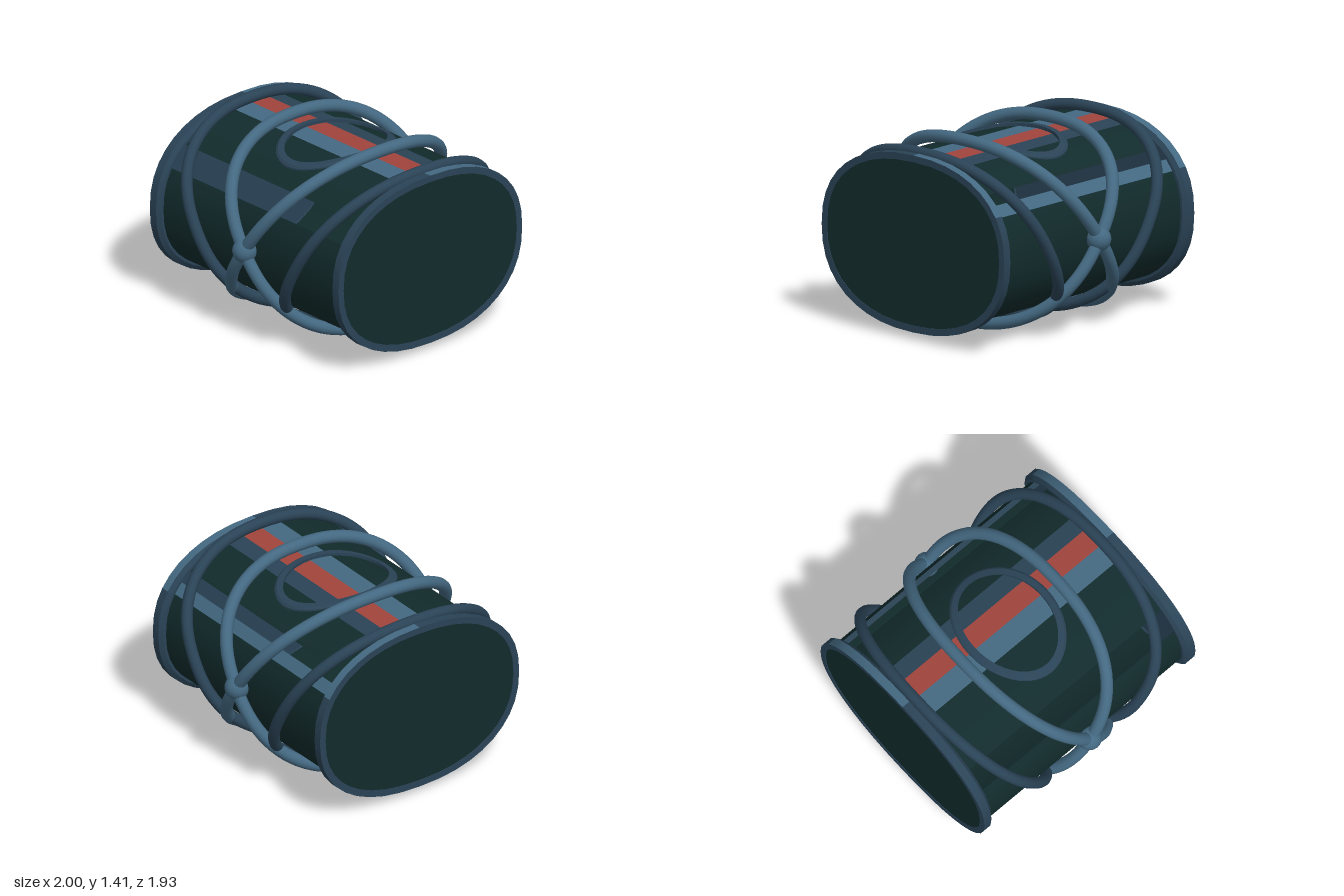
import * as THREE from 'three';
import { mergeGeometries } from 'three/addons/utils/BufferGeometryUtils.js';

const MID = 0.71, A = 0.83, B = 0.6, N = 40, POW = 2.3;

const mat = (name, color) => {
  const m = new THREE.MeshStandardMaterial({ color, side: THREE.DoubleSide });
  m.name = name;
  return m;
};

// Rounded oval in the y-z plane; step 0 is the top, positive steps run to the front
function oval(step, a, b) {
  const t = (step / N) * Math.PI * 2;
  const f = (v) => Math.sign(v) * Math.pow(Math.abs(v), 2 / POW);
  return { y: MID + b * f(Math.cos(t)), z: a * f(Math.sin(t)) };
}

// Height of the barrel's upper surface at a given z
const topAt = (z) => MID + B * Math.pow(1 - Math.pow(Math.abs(z) / A, POW), 1 / POW);

// Quad strip from a function at(row, column) returning [x, y, z]
function sheet(rows, cols, at) {
  const pos = [], idx = [];
  for (let r = 0; r <= rows; r++)
    for (let c = 0; c <= cols; c++) pos.push(...at(r, c));
  for (let r = 0; r < rows; r++)
    for (let c = 0; c < cols; c++) {
      const p = r * (cols + 1) + c, q = p + cols + 1;
      idx.push(p, p + 1, q, p + 1, q + 1, q);
    }
  const g = new THREE.BufferGeometry();
  g.setAttribute('position', new THREE.Float32BufferAttribute(pos, 3));
  g.setIndex(idx);
  g.computeVertexNormals();
  return g;
}

// Lengthwise band between two oval steps, following [x, outset] profile points with sharp corners
function band(from, to, profile) {
  const parts = [];
  for (let k = 0; k < profile.length - 1; k++)
    parts.push(sheet(to - from, 1, (r, c) => {
      const [x, out] = profile[k + c];
      const p = oval(from + r, A + out, B + out);
      return [x, p.y, p.z];
    }));
  return mergeGeometries(parts);
}

// Oval disc closing an end
function disc(x, side) {
  const s = new THREE.Shape();
  for (let i = 0; i <= N; i++) {
    const p = oval(i, A, B);
    if (i) s.lineTo(p.z, p.y); else s.moveTo(p.z, p.y);
  }
  return new THREE.ShapeGeometry(s).rotateY(side * Math.PI / 2).translate(side * x, 0, 0);
}

// Closed rope loop lying in a plane that leans in x
function ropeLoop(centreX, lean, a, b, radius) {
  const pts = [];
  for (let i = 0; i < N; i++) {
    const p = oval(i, a, b);
    pts.push(new THREE.Vector3(centreX + lean * (p.y - MID) / b, p.y, p.z));
  }
  return new THREE.TubeGeometry(new THREE.CatmullRomCurve3(pts, true), 96, radius, 12, true);
}

export function createModel() {
  const group = new THREE.Group();
  const green = mat('dark green', 0x122b2c);
  const navy = mat('navy blue', 0x2a4356);
  const blue = mat('light blue', 0x446982);
  const red = mat('brick red', 0xa0443c);
  const add = (name, geo, m) => {
    const mesh = new THREE.Mesh(geo, m);
    mesh.name = name;
    group.add(mesh);
    return mesh;
  };

  // Barrel wall: painted stripes, with open slots left at front and back
  const wall = [[-0.96, 0], [0.96, 0]];
  add('barrelFrontTop', band(1, 5, wall), green);
  add('barrelLower', band(7, 33, wall), green);
  add('barrelBackTop', band(-5, -2, wall), green);
  add('stripeBlue', band(0, 1, wall), blue);
  add('stripeRed', band(-1, 0, wall), red);
  add('stripeNavy', band(-2, -1, wall), navy);
  add('stripeBack', band(-7, -6, wall), blue);

  for (const s of [1, -1]) {
    const side = s > 0 ? 'left' : 'right';
    // End rim, with a light upper back edge
    add(side + 'Rim', band(0, 33, [[s, 0], [s, 0.05], [s * 0.935, 0.05], [s * 0.91, 0.02], [s * 0.91, 0]]), navy);
    add(side + 'RimEndFace', band(-7, 0, [[s, 0], [s, 0.05]]), navy);
    add(side + 'RimLightEdge', band(-7, 0, [[s, 0.05], [s * 0.935, 0.05]]), blue);
    add(side + 'RimChamfer', band(-7, 0, [[s * 0.935, 0.05], [s * 0.91, 0.02], [s * 0.91, 0]]), navy);
    add(side + 'RimLip', band(0, N, [[s, 0], [s * 0.96, 0]]), navy);
    // End head with its inner lining
    add(side + 'Head', disc(0.995, s), green);
    add(side + 'HeadLining', disc(0.975, s), navy);
    // Ropes
    add(side + 'OuterRope', ropeLoop(s * 0.52, s * 0.37, 0.872, 0.645, 0.042), navy);
    add(side + 'CrossRope', ropeLoop(0, s * 0.455, 0.882, 0.66, 0.046), blue);
  }

  // Knots where the crossing ropes meet
  for (const z of [1, -1]) {
    const knot = add(z > 0 ? 'frontKnot' : 'backKnot', new THREE.SphereGeometry(0.09, 16, 12), blue);
    knot.position.set(0, MID, z * 0.875);
  }

  // Raised oval hoop following the curve of the top
  const hoop = [[0, -0.01], [0, 0.022], [0.045, 0.022], [0.06, 0.01], [0.06, -0.01]];
  const parts = [];
  for (let k = 0; k < hoop.length - 1; k++)
    parts.push(sheet(48, 1, (r, c) => {
      const [out, lift] = hoop[k + c], t = (r / 48) * Math.PI * 2;
      const z = (0.41 + out) * Math.sin(t);
      return [(0.31 + out) * Math.cos(t), topAt(z) + lift, z];
    }));
  add('topHoop', mergeGeometries(parts), navy);

  return group;
}
